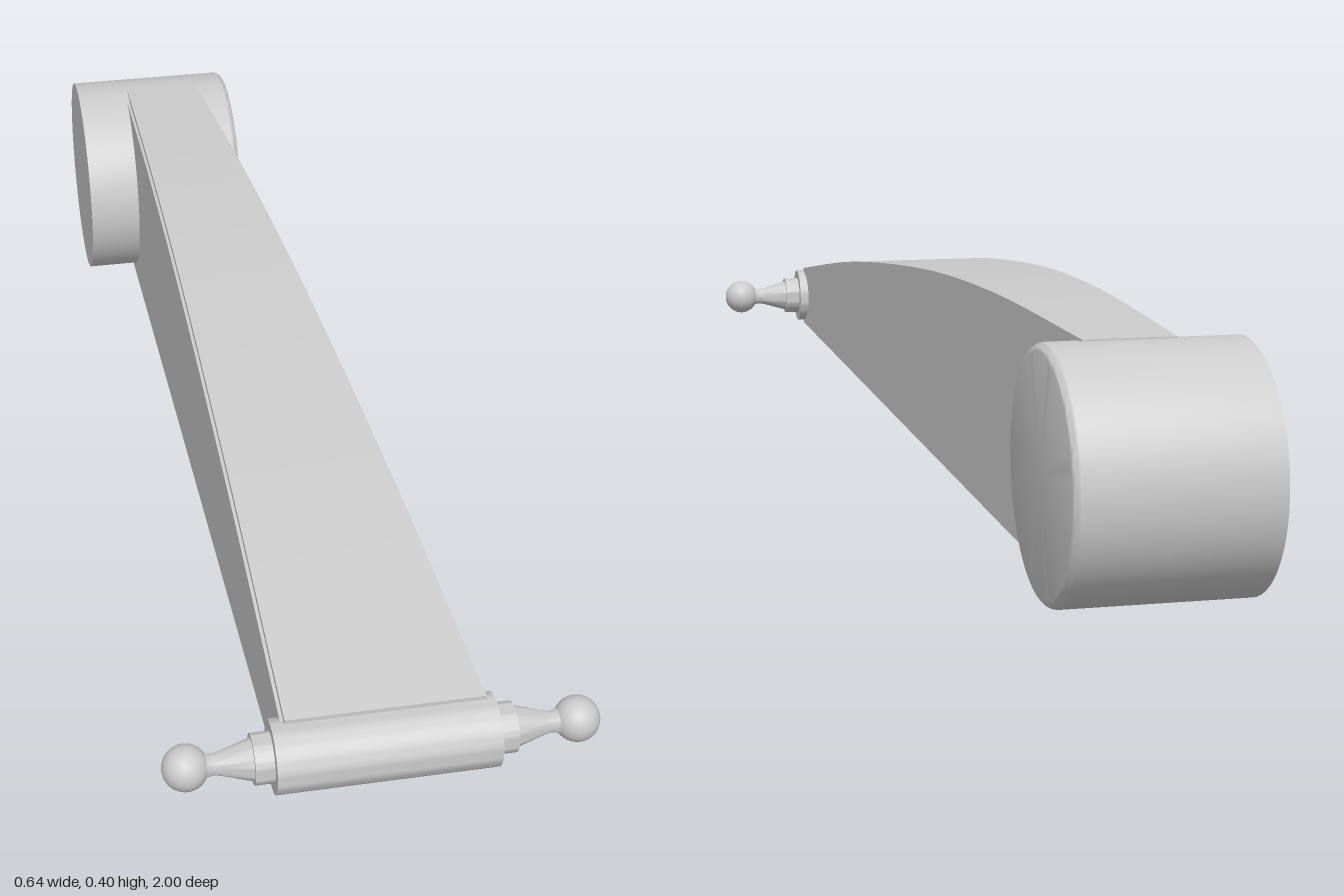
import * as THREE from 'three';
import { toCreasedNormals } from 'three/addons/utils/BufferGeometryUtils.js';

const material = new THREE.MeshStandardMaterial({ color: 0xcccccc });

function mesh(name, geometry) {
  const m = new THREE.Mesh(geometry, material);
  m.name = name;
  return m;
}

// Lathe around the x axis; points are [x, radius] from low x to high x
function latheX(points, segments = 48) {
  const g = new THREE.LatheGeometry(points.map(([x, r]) => new THREE.Vector2(r, x)), segments);
  g.rotateZ(-Math.PI / 2);
  return toCreasedNormals(g, 0.6);
}

// Crowned top of the arm, sampled from front to rear as [z, y]
const topLine = new THREE.SplineCurve([
  [0.94, 0.26], [0.5, 0.332], [0, 0.385], [-0.4, 0.401], [-0.8, 0.392],
].map(([z, y]) => new THREE.Vector2(z, y))).getPoints(32);

// Extrude a side outline [z, y] across x, tapering the right wall to the rear
function taperedSlab(outline, left) {
  const shape = new THREE.Shape(outline.map(p => new THREE.Vector2(-p.x, p.y)));
  const g = new THREE.ExtrudeGeometry(shape, { depth: 1, bevelEnabled: false });
  g.rotateY(Math.PI / 2);
  const pos = g.attributes.position;
  for (let i = 0; i < pos.count; i++) {
    const right = 0.15 - (0.94 - pos.getZ(i)) * 0.0877;
    pos.setX(i, left + pos.getX(i) * (right - left));
  }
  return toCreasedNormals(g, 0.4);
}

export function createModel() {
  const model = new THREE.Group();
  model.name = 'leverArm';

  // Arm body with a thin, slightly inset cover following its crown
  const seam = topLine.map(p => new THREE.Vector2(p.x, p.y - 0.01));
  const body = [...seam, new THREE.Vector2(-0.8, 0.003), new THREE.Vector2(0.94, 0.14)];
  model.add(mesh('armBody', taperedSlab(body, -0.148)));
  model.add(mesh('armCover', taperedSlab([...topLine, ...seam.slice().reverse()], -0.143)));

  // Rear drum with a rounded rim on its left end
  const rim = [];
  for (let i = 0; i <= 6; i++) {
    const a = (i / 6) * Math.PI / 2;
    rim.push([0.046 + 0.015 * Math.sin(a), 0.175 + 0.015 * Math.cos(a)]);
  }
  const drum = mesh('rearDrum', latheX([[-0.243, 0], [-0.243, 0.19], ...rim, [0.061, 0]], 64));
  drum.position.set(0, 0.2, -0.81);
  model.add(drum);

  // Front cross shaft: sleeve, collars, waisted necks and ball ends
  const shaft = new THREE.Group();
  shaft.name = 'crossShaft';
  shaft.position.set(0, 0.2, 0.946);
  shaft.add(mesh('sleeve', latheX([[-0.163, 0], [-0.163, 0.054], [0.163, 0.054], [0.163, 0]])));
  for (const side of [1, -1]) {
    const end = new THREE.Group();
    end.name = side > 0 ? 'leftEnd' : 'rightEnd';
    end.add(mesh('collar', latheX([[0.155, 0], [0.155, 0.037], [0.191, 0.037], [0.191, 0]])));
    end.add(mesh('neck', latheX([
      [0.185, 0], [0.185, 0.033], [0.191, 0.031], [0.235, 0.018], [0.246, 0.0155], [0.256, 0.017], [0.266, 0.025], [0.275, 0],
    ])));
    const ball = mesh('ball', new THREE.SphereGeometry(0.034, 32, 20));
    ball.position.x = 0.286;
    end.add(ball);
    if (side < 0) end.rotation.y = Math.PI;
    shaft.add(end);
  }
  model.add(shaft);
  return model;
}
